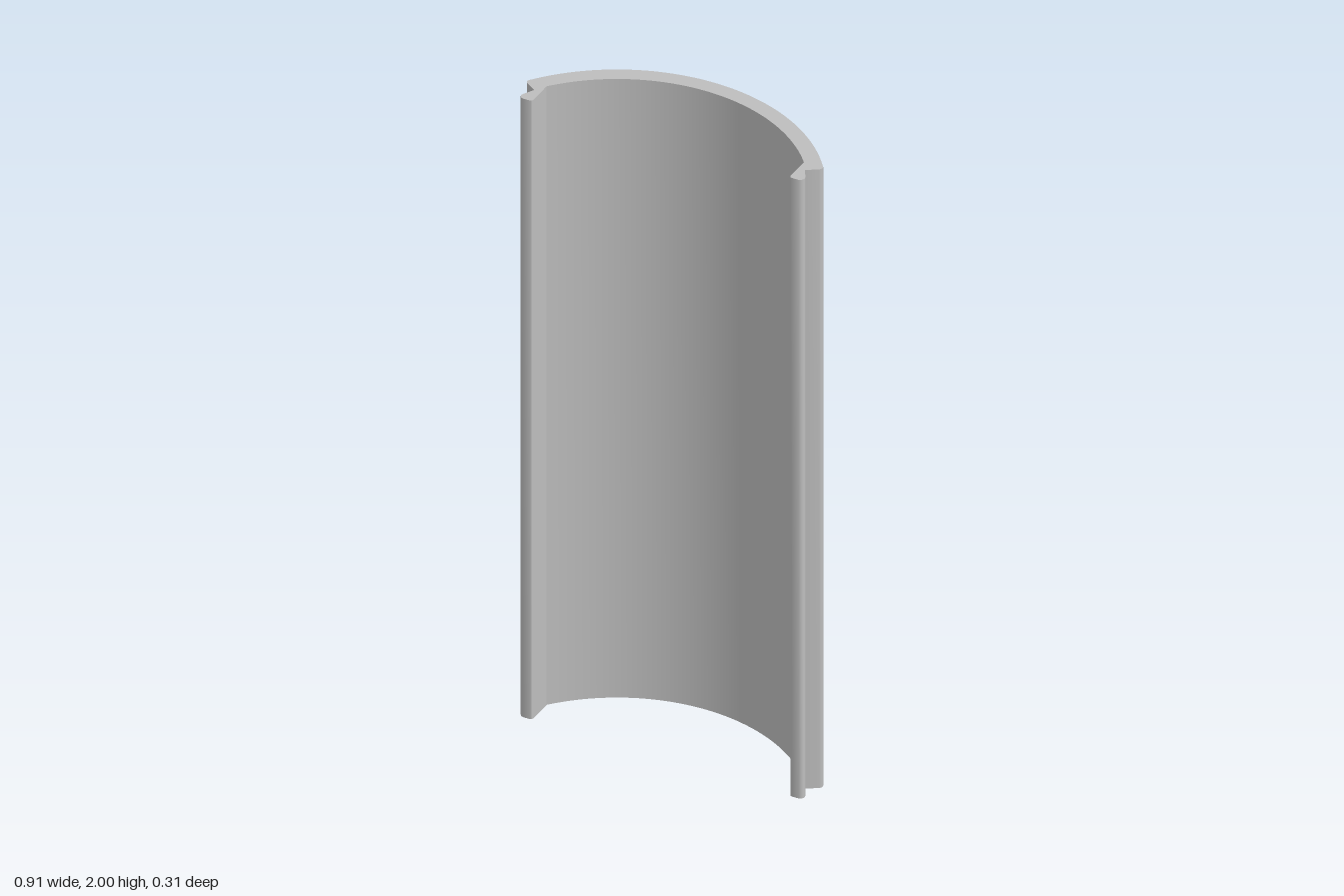
import * as THREE from 'three';
import { toCreasedNormals } from 'three/addons/utils/BufferGeometryUtils.js';

const HEIGHT = 2;
const CENTRE_Z = 0.407; // shared axis of the inner and outer arcs
const OUTER_R = 0.564;
const INNER_R = 0.517;
const STEPS = 32;

// Points of an arc about the shared axis, from x0 to x1, as (x, z)
function arc(radius, x0, x1) {
  const a0 = Math.asin(x0 / radius);
  const a1 = Math.asin(x1 / radius);
  return Array.from({ length: STEPS + 1 }, (_, i) => {
    const a = a0 + ((a1 - a0) * i) / STEPS;
    return [radius * Math.sin(a), CENTRE_Z - radius * Math.cos(a)];
  });
}

export function createModel() {
  const group = new THREE.Group();
  group.name = 'curvedCoverStrip';
  const grey = new THREE.MeshStandardMaterial({ color: 0xbdbdbd });
  grey.name = 'grey';

  // Half cross-section: outer arc, rounded lip, notch, snap foot, inner arc
  const half = [
    ...arc(OUTER_R, 0, 0.449),
    [0.452, 0.069], [0.4535, 0.075], [0.452, 0.081], [0.448, 0.085],
    [0.416, 0.106],
    [0.433, 0.136], [0.435, 0.143], [0.434, 0.149], [0.430, 0.154], [0.424, 0.157],
    [0.403, 0.157], [0.397, 0.155], [0.395, 0.149],
    ...arc(INNER_R, 0.395, 0),
  ];
  // Mirror the half to close the profile, skipping the two points on x = 0
  const mirrored = half.slice(1, -1).reverse().map(([x, z]) => [-x, z]);
  const outline = [...half, ...mirrored].map(([x, z]) => new THREE.Vector2(x, -z));

  // Extrude the profile upwards
  let geometry = new THREE.ExtrudeGeometry(new THREE.Shape(outline), {
    depth: HEIGHT,
    bevelEnabled: false,
  });
  geometry.rotateX(-Math.PI / 2);
  geometry = toCreasedNormals(geometry, 0.6);

  const cover = new THREE.Mesh(geometry, grey);
  cover.name = 'curvedCover';
  group.add(cover);
  return group;
}
